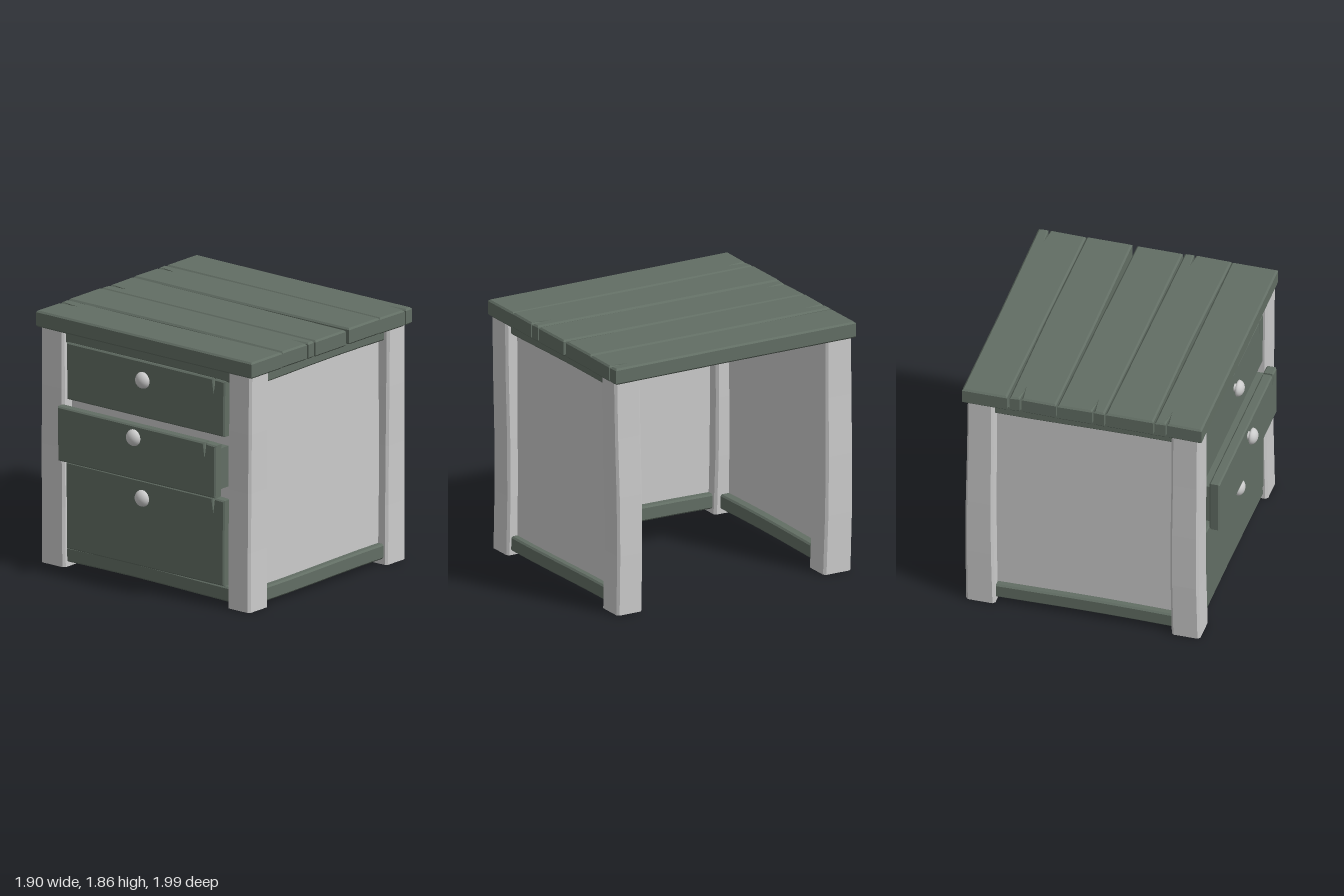
import * as THREE from 'three';

const grey = new THREE.MeshStandardMaterial({ color: 0xcccccc, flatShading: true });
const green = new THREE.MeshStandardMaterial({ color: 0x626e64, flatShading: true });
const smoothGrey = new THREE.MeshStandardMaterial({ color: 0xcccccc });

// Extrude an outline to the given thickness, chamfering its edges inward
function slab(points, depth, bevel, steps = 1) {
  const shape = new THREE.Shape(points.map(([x, y]) => new THREE.Vector2(x, y)));
  const geo = new THREE.ExtrudeGeometry(shape, {
    depth: depth - 2 * bevel, steps, bevelEnabled: bevel > 0,
    bevelThickness: bevel, bevelSize: bevel, bevelOffset: -bevel, bevelSegments: 1,
  });
  return geo.translate(0, 0, bevel);
}

// Move every vertex by a rule, then refresh the normals
function warp(geo, rule) {
  const p = geo.attributes.position, v = new THREE.Vector3();
  for (let i = 0; i < p.count; i++) {
    rule(v.fromBufferAttribute(p, i));
    p.setXYZ(i, v.x, v.y, v.z);
  }
  geo.computeVertexNormals();
  return geo;
}

function add(parent, name, geo, mat) {
  const mesh = new THREE.Mesh(geo, mat);
  mesh.name = name;
  parent.add(mesh);
  return mesh;
}

// Leg: chamfered post running from a bottom to a top rectangle [x0, x1, z0, z1]
function leg(bottom, top, height) {
  const c = 0.08;
  const outline = [[c, 0], [1 - c, 0], [1, c], [1, 1 - c], [1 - c, 1], [c, 1], [0, 1 - c], [0, c]];
  const geo = slab(outline, height, 0, 4).rotateX(-Math.PI / 2);
  return warp(geo, (v) => {
    const t = v.y / height, bow = 0.006 * Math.sin(t * Math.PI * 1.5);
    const m = bottom.map((b, i) => THREE.MathUtils.lerp(b, top[i], t));
    const u = v.x, w = -v.z;
    v.x = m[0] + (m[1] - m[0]) * u + bow;
    v.z = m[3] + (m[2] - m[3]) * w - bow;
  });
}

// Rail: slightly wavy beam along x, centred on the origin
function rail(length, height, depth, phase) {
  const h = height / 2, c = 0.012;
  const outline = [[-depth / 2, -h + c], [-depth / 2 + c, -h], [depth / 2 - c, -h], [depth / 2, -h + c],
    [depth / 2, h - c], [depth / 2 - c, h], [-depth / 2 + c, h], [-depth / 2, h - c]];
  const geo = slab(outline, length, 0, 5).translate(0, 0, -length / 2).rotateY(Math.PI / 2);
  return warp(geo, (v) => { v.y += 0.006 * Math.sin(v.x * 3 + phase); });
}

// Knob: domed head on a short stem, pointing along +y
function knob() {
  const profile = [[0.03, -0.01], [0.03, 0.025]].map(([x, y]) => new THREE.Vector2(x, y));
  const head = [[0, 0.02], [0.055, 0.02], [0.061, 0.026]].map(([x, y]) => new THREE.Vector2(x, y));
  for (let i = 1; i <= 8; i++) {
    const a = (i / 8) * Math.PI / 2;
    head.push(new THREE.Vector2(0.061 * Math.cos(a), 0.026 + 0.047 * Math.sin(a)));
  }
  const group = new THREE.Group();
  add(group, 'knobStem', new THREE.LatheGeometry(profile, 20), smoothGrey);
  add(group, 'knobHead', new THREE.LatheGeometry(head, 24), smoothGrey);
  group.name = 'knob';
  return group;
}

export function createModel() {
  const model = new THREE.Group();
  model.name = 'drawerDesk';

  // Four slightly crooked legs
  const legs = {
    frontRightLeg: [[-0.80, -0.59, 0.75, 0.955], [-0.79, -0.585, 0.75, 0.96]],
    frontLeftLeg: [[0.705, 0.92, 0.75, 0.955], [0.72, 0.91, 0.75, 0.96]],
    backRightLeg: [[-0.80, -0.59, -0.97, -0.75], [-0.79, -0.585, -0.98, -0.77]],
    backLeftLeg: [[0.705, 0.92, -0.97, -0.745], [0.72, 0.91, -0.99, -0.78]],
  };
  for (const [name, [b, t]] of Object.entries(legs)) add(model, name, leg(b, t, 1.75), grey);

  // Top planks: left and right edges given at back, middle and front, plus end cracks [x, z side]
  const planks = [
    { l: [-0.82, -0.815, -0.81], r: [-0.475, -0.475, -0.47], cracks: [[-0.56, -1]] },
    { l: [-0.465, -0.455, -0.47], r: [-0.115, -0.12, -0.125], cracks: [[-0.02 - 0.18, 1]] },
    { l: [-0.105, -0.11, -0.11], r: [0.24, 0.235, 0.225], cracks: [[-0.02, -1]] },
    { l: [0.25, 0.25, 0.26], r: [0.59, 0.6, 0.595], cracks: [[0.51, -1]] },
    { l: [0.61, 0.605, 0.6], r: [0.94, 0.94, 0.95], cracks: [[0.87, 1]] },
  ];
  planks.forEach(({ l, r, cracks }, i) => {
    const notch = (side) => cracks.filter((c) => c[1] === side).flatMap(([x]) => {
      const e = side * 0.99;
      return [[x - side * 0.007, -e], [x, -e + side * 0.14], [x + side * 0.007, -e]];
    });
    // Counter-clockwise, with shape y standing for -z
    const outline = [[l[2], -0.985], ...notch(1), [r[2], -0.985], [r[1], 0], [r[0], 0.995],
      ...notch(-1), [l[0], 0.995], [l[1], 0]];
    const geo = slab(outline, 0.12, 0.012).rotateX(-Math.PI / 2).translate(0, 1.735 + 0.003 * (i % 2), 0);
    add(model, 'topPlank', geo, green);
  });

  // Rails above and below the three closed sides
  [[0.09, 0.11], [1.695, 0.09]].forEach(([y, h], i) => {
    add(model, 'frontRail', rail(1.36, h, 0.14, i), green).position.set(0.065, y, 0.855);
    add(model, 'backRail', rail(1.36, h, 0.14, i + 2), green).position.set(0.065, y, -0.865);
    const side = add(model, 'sideRail', rail(1.56, h, 0.14, i + 1), green);
    side.position.set(-0.695, y, 0);
    side.rotation.y = Math.PI / 2;
  });

  // Flat panels between the legs
  const panel = (name, w, d, x, z) =>
    add(model, name, new THREE.BoxGeometry(w, 1.58, d), grey).position.set(x, 0.9, z);
  panel('frontPanel', 1.36, 0.02, 0.065, 0.865);
  panel('backPanel', 1.36, 0.02, 0.065, -0.875);
  panel('sidePanel', 0.02, 1.56, -0.69, 0);

  // Drawers on the side: face x, bottom, top, knob height
  const drawers = [
    ['topDrawer', -0.78, 1.24, 1.66, 1.53],
    ['middleDrawer', -0.88, 0.81, 1.21, 1.13],
    ['bottomDrawer', -0.785, 0.14, 0.78, 0.66],
  ];
  for (const [name, x, y0, y1, ky] of drawers) {
    const drawer = new THREE.Group();
    drawer.name = name;
    const outline = [[-0.745, y0], [0.705, y0 + 0.005], [0.71, y1 - 0.005], [0.618, y1],
      [0.61, y1 - 0.1], [0.602, y1], [-0.75, y1]];
    add(drawer, 'drawerFront', slab(outline, 0.075, 0.01).rotateY(-Math.PI / 2).translate(x + 0.075, 0, 0), green);
    const handle = knob();
    handle.rotation.z = Math.PI / 2;
    handle.position.set(x, ky, -0.02);
    drawer.add(handle);
    model.add(drawer);
  }

  // Box behind the pulled-out drawer
  add(model, 'drawerBox', new THREE.BoxGeometry(0.13, 0.3, 1.4), green).position.set(-0.76, 1.01, -0.02);

  return model;
}
